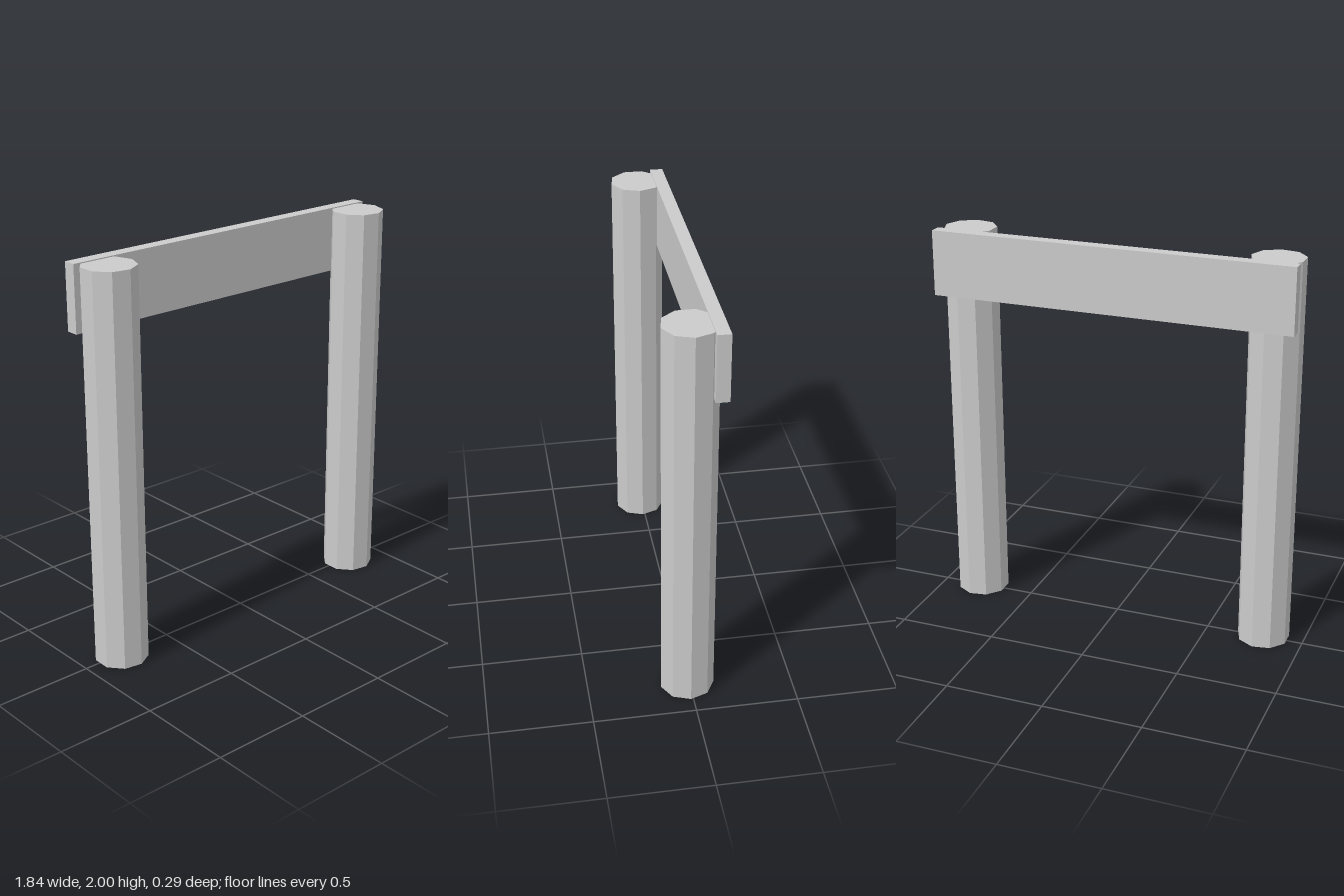
import * as THREE from 'three';

export function createModel() {
  const model = new THREE.Group();
  const material = new THREE.MeshStandardMaterial({ color: 0xcccccc, flatShading: true });

  // Two nine-sided posts, both with a corner pointing to +x
  const postHeight = 1.995;
  const postGeometry = new THREE.CylinderGeometry(0.133, 0.133, postHeight, 9, 1, false, Math.PI / 2);
  for (const [name, x] of [['rightPost', -0.793], ['leftPost', 0.785]]) {
    const post = new THREE.Mesh(postGeometry, material);
    post.name = name;
    post.position.set(x, postHeight / 2, 0.012);
    model.add(post);
  }

  // Flat board across the back of the posts, flush with their outer sides
  const board = new THREE.Mesh(new THREE.BoxGeometry(1.838, 0.33, 0.064), material);
  board.name = 'crossBoard';
  board.position.set(0, 1.835, -0.111);
  model.add(board);

  return model;
}
